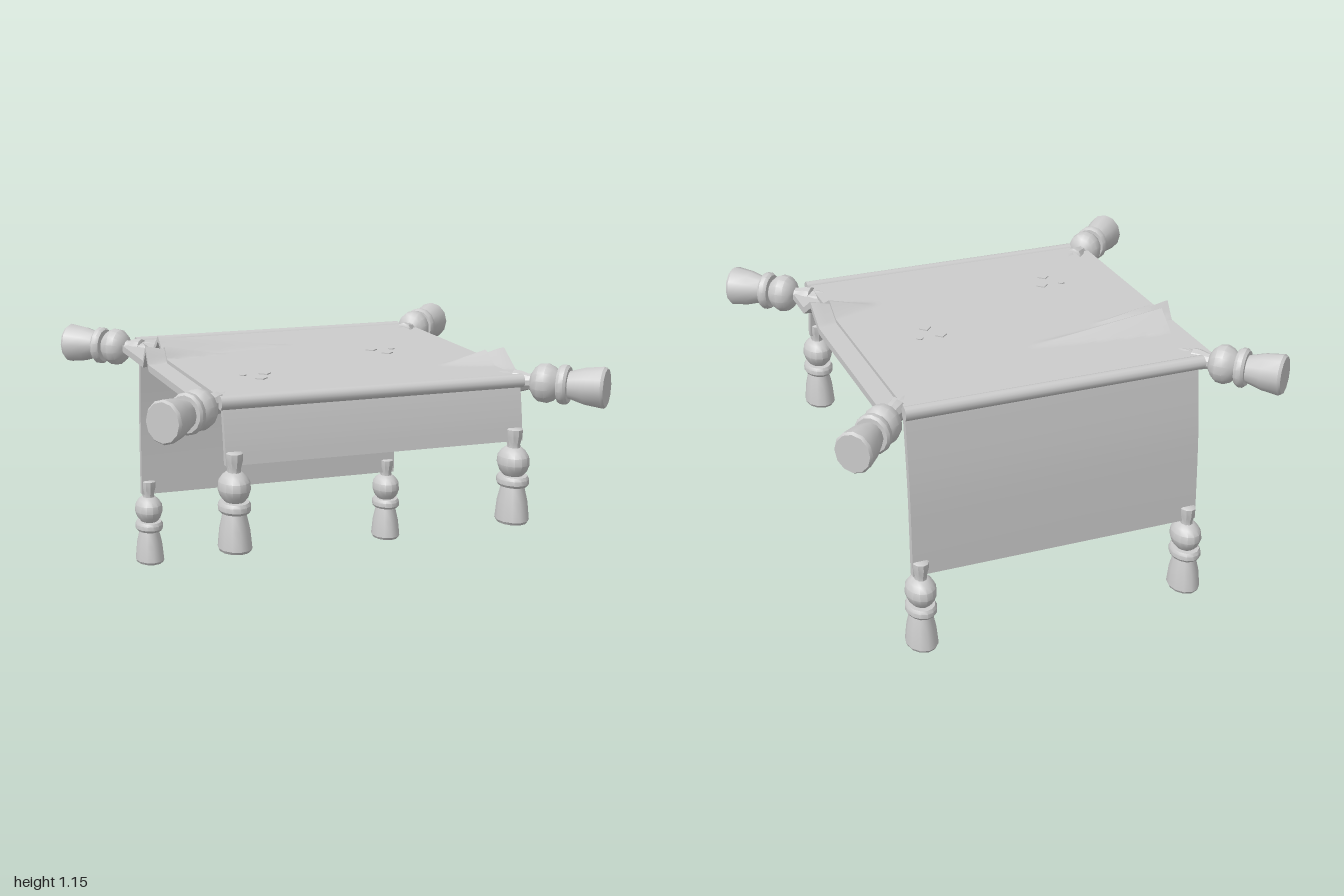
import * as THREE from 'three';
import { toCreasedNormals } from 'three/addons/utils/BufferGeometryUtils.js';

const material = new THREE.MeshStandardMaterial({ color: 0xcccccc, side: THREE.DoubleSide });

function add(parent, name, geometry, x = 0, y = 0, z = 0) {
  const mesh = new THREE.Mesh(geometry, material);
  mesh.name = name;
  mesh.position.set(x, y, z);
  parent.add(mesh);
  return mesh;
}

// Tent-shaped wrinkles, each growing from a tip towards the side edge
const folds = [
  { tip: -0.04, edge: -0.65, z: -0.31, width: 0.1, height: 0.08 },
  { tip: -0.37, edge: -0.73, z: -0.2, width: 0.05, height: 0.075 },
  { tip: 0.43, edge: 0.71, z: 0.345, width: 0.12, height: 0.075 },
];
function foldHeight(x, z, list = folds) {
  let h = 0;
  for (const f of list) {
    const t = Math.min(1, (x - f.tip) / (f.edge - f.tip));
    if (t <= 0) continue;
    const across = 1 - Math.abs(z - f.z) / (f.width * (0.25 + 0.75 * t));
    h = Math.max(h, f.height * t * Math.max(0, across));
  }
  return h;
}

// Sheet with its centre at (x, y), lifted by the wrinkles
function sheet(width, thick, depth, x, y, z, list) {
  const g = new THREE.BoxGeometry(width, thick, depth, Math.ceil(width * 40), 1, 100);
  g.translate(x, y, z);
  const p = g.attributes.position;
  for (let i = 0; i < p.count; i++) {
    p.setY(i, p.getY(i) + foldHeight(p.getX(i), p.getZ(i), list));
  }
  return toCreasedNormals(g, 0.5);
}

// Hanging flap: a rectangle strip in y-z extruded along x
function flap(path, thick) {
  const curve = new THREE.SplineCurve(path.map(([z, y]) => new THREE.Vector2(z, y)));
  const pts = curve.getPoints(12);
  const outline = [
    ...pts.map((p) => new THREE.Vector2(p.x - thick / 2, p.y)),
    ...pts.reverse().map((p) => new THREE.Vector2(p.x + thick / 2, p.y)),
  ];
  const g = new THREE.ExtrudeGeometry(new THREE.Shape(outline), { depth: 1.28, bevelEnabled: false });
  g.rotateY(-Math.PI / 2); // shape x -> z, depth -> -x
  g.translate(0.635, 0, 0);
  return toCreasedNormals(g, 0.5);
}

// Tassel: skirt, ring, ball and cup, with the skirt end at y = 0
function lathe(points, sides = 14) {
  const g = new THREE.LatheGeometry(points.map(([r, y]) => new THREE.Vector2(r, y)), sides);
  return toCreasedNormals(g, 0.6);
}
const tasselParts = {
  skirt: lathe([[0, 0], [0.08, 0], [0.088, 0.012], [0.078, 0.09], [0.058, 0.158], [0, 0.164]], 12),
  ring: lathe([[0.03, 0.155], [0.075, 0.157], [0.084, 0.168], [0.084, 0.187], [0.075, 0.2], [0.03, 0.202]]),
  ball: lathe([[0, 0.195], [0.05, 0.2], [0.072, 0.222], [0.084, 0.25], [0.08, 0.282], [0.062, 0.304],
    [0.04, 0.318], [0, 0.325]]),
  cup: lathe([[0, 0.3], [0.036, 0.31], [0.034, 0.33], [0.045, 0.365], [0.046, 0.395], [0.036, 0.4], [0, 0.4]], 10),
};
function tassel(name) {
  const group = new THREE.Group();
  group.name = name;
  for (const [part, geometry] of Object.entries(tasselParts)) add(group, part, geometry);
  return group;
}

export function createModel() {
  const model = new THREE.Group();
  model.name = 'drapedCloth';

  // Top panel and the lower trim along each side
  add(model, 'topCloth', sheet(1.28, 0.025, 1.36, -0.005, 1.065, 0));
  add(model, 'leftTrim', sheet(0.09, 0.03, 1.26, 0.675, 1.047, 0, [folds[2]]));
  add(model, 'rightTrim', sheet(0.09, 0.03, 1.26, -0.685, 1.047, 0, [folds[1]]));

  // Rolled hems where the cloth bends over
  for (const s of [1, -1]) {
    const hem = new THREE.CylinderGeometry(0.029, 0.029, 1.3, 12);
    hem.rotateZ(Math.PI / 2);
    add(model, s > 0 ? 'frontHem' : 'backHem', toCreasedNormals(hem, 0.7), -0.005, 1.06, s * 0.68);
  }

  // Short front flap and long back flap
  add(model, 'frontFlap', flap([[0.665, 1.06], [0.68, 0.99], [0.695, 0.9], [0.705, 0.815]], 0.03));
  add(model, 'backFlap', flap([[-0.645, 1.06], [-0.66, 0.95], [-0.685, 0.7], [-0.697, 0.335]], 0.03));

  // Hanging tassels at the flap corners
  for (const x of [0.6, -0.61]) {
    const front = tassel('frontHangingTassel');
    front.position.set(x, 0.47, 0.71);
    const back = tassel('backHangingTassel');
    back.position.set(x, 0, -0.7);
    for (const t of [front, back]) {
      t.scale.x = 0.77;
      model.add(t);
    }
  }

  // Corner tassels pointing outward, with a tapered sleeve gripping the cloth
  const sleeve = lathe([[0, 0.37], [0.044, 0.37], [0.06, 0.43], [0.05, 0.49], [0, 0.5]], 8);
  for (const sx of [1, -1]) {
    for (const sz of [1, -1]) {
      const corner = tassel('cornerTassel');
      const tip = new THREE.Vector3(sx * (sz > 0 ? 0.935 : 0.92), 1.045, sz * (sz > 0 ? 0.872 : 0.893));
      const inward = new THREE.Vector3(sx * 0.64, 1.045, sz * 0.6).sub(tip).normalize();
      const side = new THREE.Vector3(0, 1, 0).cross(inward);
      corner.quaternion.setFromRotationMatrix(
        new THREE.Matrix4().makeBasis(side, inward, new THREE.Vector3().crossVectors(side, inward)));
      corner.position.copy(tip);
      corner.scale.x = 0.92;
      add(corner, 'sleeve', sleeve).scale.z = 0.6;
      model.add(corner);
    }
  }

  // Small flat studs on the top panel
  const studs = [[0.27, -0.07, 4], [0.31, 0.02, 4], [0.365, -0.07, 8],
    [-0.34, 0.275, 4], [-0.385, 0.365, 4], [-0.435, 0.275, 8]];
  for (const [x, z, sides] of studs) {
    const r = sides === 4 ? 0.027 : 0.016;
    add(model, 'stud', toCreasedNormals(new THREE.CylinderGeometry(r, r, 0.006, sides), 0.3), x, 1.079, z);
  }
  return model;
}
